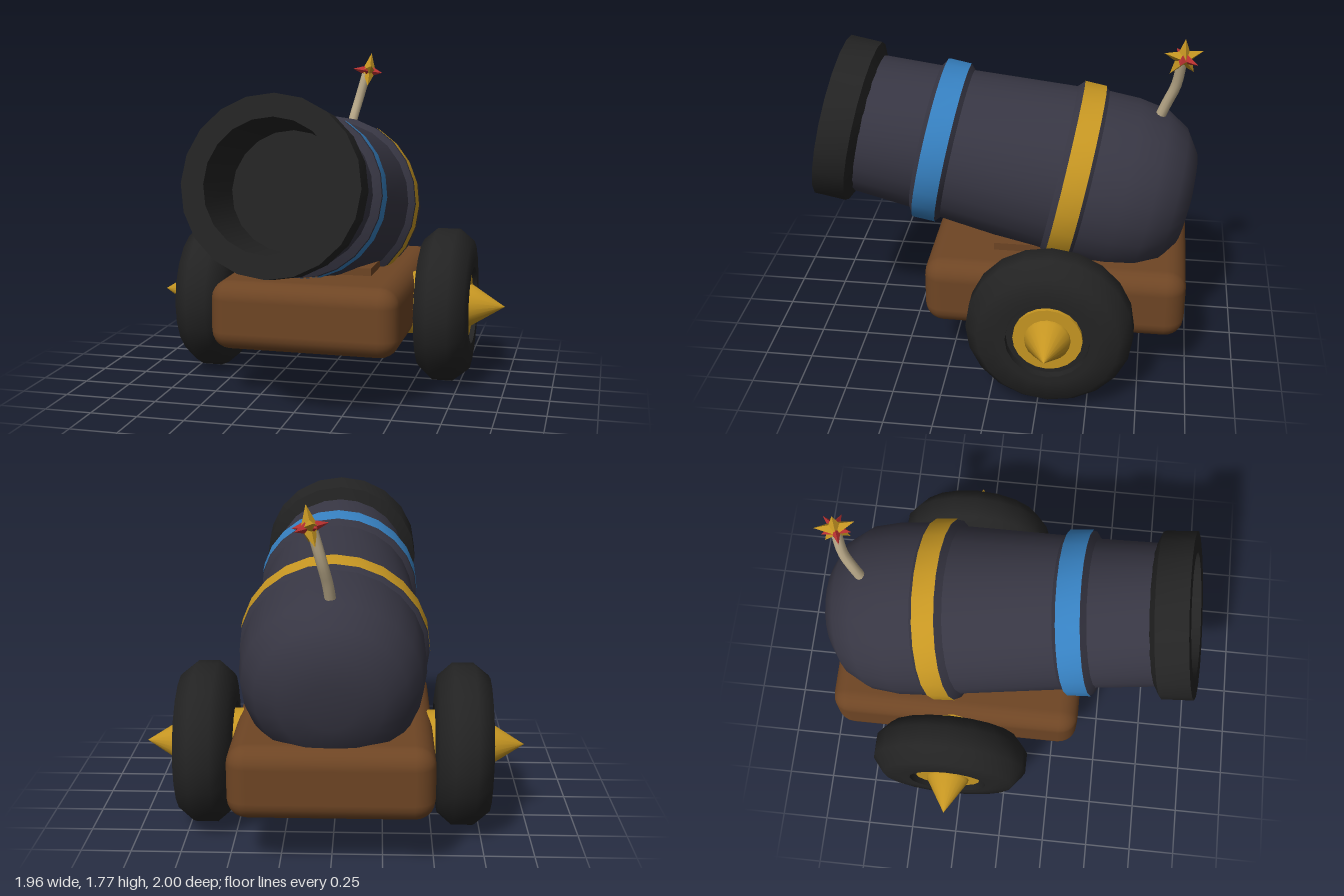
import * as THREE from 'three';
import { toCreasedNormals } from 'three/addons/utils/BufferGeometryUtils.js';
import { RoundedBoxGeometry } from 'three/addons/geometries/RoundedBoxGeometry.js';

function mat(name, color, flat = false) {
  const m = new THREE.MeshStandardMaterial({ color, flatShading: flat });
  m.name = name;
  return m;
}

function add(parent, name, geometry, material) {
  const mesh = new THREE.Mesh(geometry, material);
  mesh.name = name;
  parent.add(mesh);
  return mesh;
}

// Turned part from [radius, height] pairs, with sharp edges kept
function turned(points, sides = 20, crease = 0.6) {
  const geo = new THREE.LatheGeometry(points.map(([r, h]) => new THREE.Vector2(r, h)), sides);
  return toCreasedNormals(geo, crease);
}

// Puffed five-pointed star in the xy plane
function starGeometry(outer, inner, depth) {
  const rim = [];
  for (let i = 0; i < 10; i++) {
    const a = Math.PI / 2 + (i * Math.PI) / 5;
    const r = i % 2 ? inner : outer;
    rim.push([r * Math.cos(a), r * Math.sin(a), 0]);
  }
  const pos = [];
  for (let i = 0; i < 10; i++) {
    const a = rim[i], b = rim[(i + 1) % 10];
    pos.push(...a, ...b, 0, 0, depth, ...b, ...a, 0, 0, -depth);
  }
  const geo = new THREE.BufferGeometry();
  geo.setAttribute('position', new THREE.Float32BufferAttribute(pos, 3));
  geo.computeVertexNormals();
  return geo;
}

export function createModel() {
  const model = new THREE.Group();
  model.name = 'cannon';

  const iron = mat('barrel iron', 0x373643);
  const black = mat('black', 0x232323);
  const blue = mat('blue band', 0x3680c0);
  const gold = mat('gold', 0xc69622);
  const wood = mat('brown wood', 0x6e4524);
  const cord = mat('fuse cord', 0xb8a888);
  const red = mat('spark red', 0xb5302f);

  // Barrel: local y runs from the muzzle back to the breech
  const barrel = new THREE.Group();
  barrel.name = 'barrel';
  barrel.position.set(0, 1.22, 0.915);
  barrel.rotation.x = -(Math.PI / 2 + 0.2);
  model.add(barrel);

  add(barrel, 'muzzle', turned([
    [0, 0.38], [0.3, 0.38], [0.32, 0], [0.43, 0], [0.43, 0.165], [0.36, 0.2],
  ]), black);
  add(barrel, 'barrelBody', turned([
    [0.367, 0.19], [0.385, 0.5], [0.425, 0.525], [0.425, 0.647], [0.4, 0.67],
    [0.443, 1.215], [0.475, 1.245], [0.475, 1.36], [0.458, 1.38],
    [0.458, 1.55], [0.435, 1.7], [0.365, 1.82], [0.25, 1.9], [0.12, 1.92], [0, 1.925],
  ], 24), iron);
  add(barrel, 'frontBand', turned([[0.43, 0.525], [0.43, 0.647]], 24), blue);
  add(barrel, 'rearBand', turned([[0.48, 1.245], [0.48, 1.36]], 24), gold);

  // Carriage
  const base = add(model, 'carriage', new RoundedBoxGeometry(1, 0.37, 1.35, 3, 0.1), wood);
  base.position.set(0, 0.445, -0.297);
  const cradle = add(model, 'cradle', new THREE.BoxGeometry(0.6, 0.12, 0.5), wood);
  cradle.position.set(0, 0.61, -0.22);

  // Wheels with hubs and pointed caps
  const tyre = turned([
    [0.1, 0.54], [0.21, 0.54], [0.21, 0.512], [0.25, 0.515], [0.355, 0.53], [0.42, 0.605],
    [0.42, 0.715], [0.355, 0.795], [0.25, 0.807], [0.21, 0.805], [0.21, 0.765], [0.1, 0.765],
  ], 20, 0.95);
  const hub = turned([[0, 0.45], [0.174, 0.45], [0.174, 0.785], [0, 0.785]]);
  const cap = turned([[0.116, 0.78], [0.113, 0.8], [0, 0.98]], 20, 0.95);
  for (const side of [1, -1]) {
    const wheel = new THREE.Group();
    wheel.name = side > 0 ? 'leftWheel' : 'rightWheel';
    wheel.position.set(0, 0.425, -0.3);
    wheel.rotation.z = (-side * Math.PI) / 2;
    add(wheel, 'tyre', tyre, black);
    add(wheel, 'hub', hub, gold);
    add(wheel, 'hubCap', cap, gold);
    model.add(wheel);
  }

  // Fuse
  const path = new THREE.CatmullRomCurve3([
    new THREE.Vector3(0, 1.28, -0.78), new THREE.Vector3(0.015, 1.39, -0.82),
    new THREE.Vector3(0.04, 1.5, -0.86), new THREE.Vector3(0.08, 1.65, -0.88),
  ]);
  add(model, 'fuse', new THREE.TubeGeometry(path, 10, 0.027, 10), cord);

  // Spark: upright gold star crossed by a level red one
  const spark = new THREE.Group();
  spark.name = 'spark';
  spark.position.set(0.095, 1.67, -0.885);
  spark.rotation.set(0, 0.28, -0.15);
  model.add(spark);
  const goldStar = add(spark, 'goldStar', starGeometry(0.105, 0.045, 0.04), gold);
  goldStar.rotation.y = Math.PI / 2;
  const redStar = add(spark, 'redStar', starGeometry(0.098, 0.042, 0.035), red);
  redStar.rotation.set(-Math.PI / 2, 0, Math.PI / 10);
  redStar.scale.set(1, 0.75, 1);

  return model;
}
